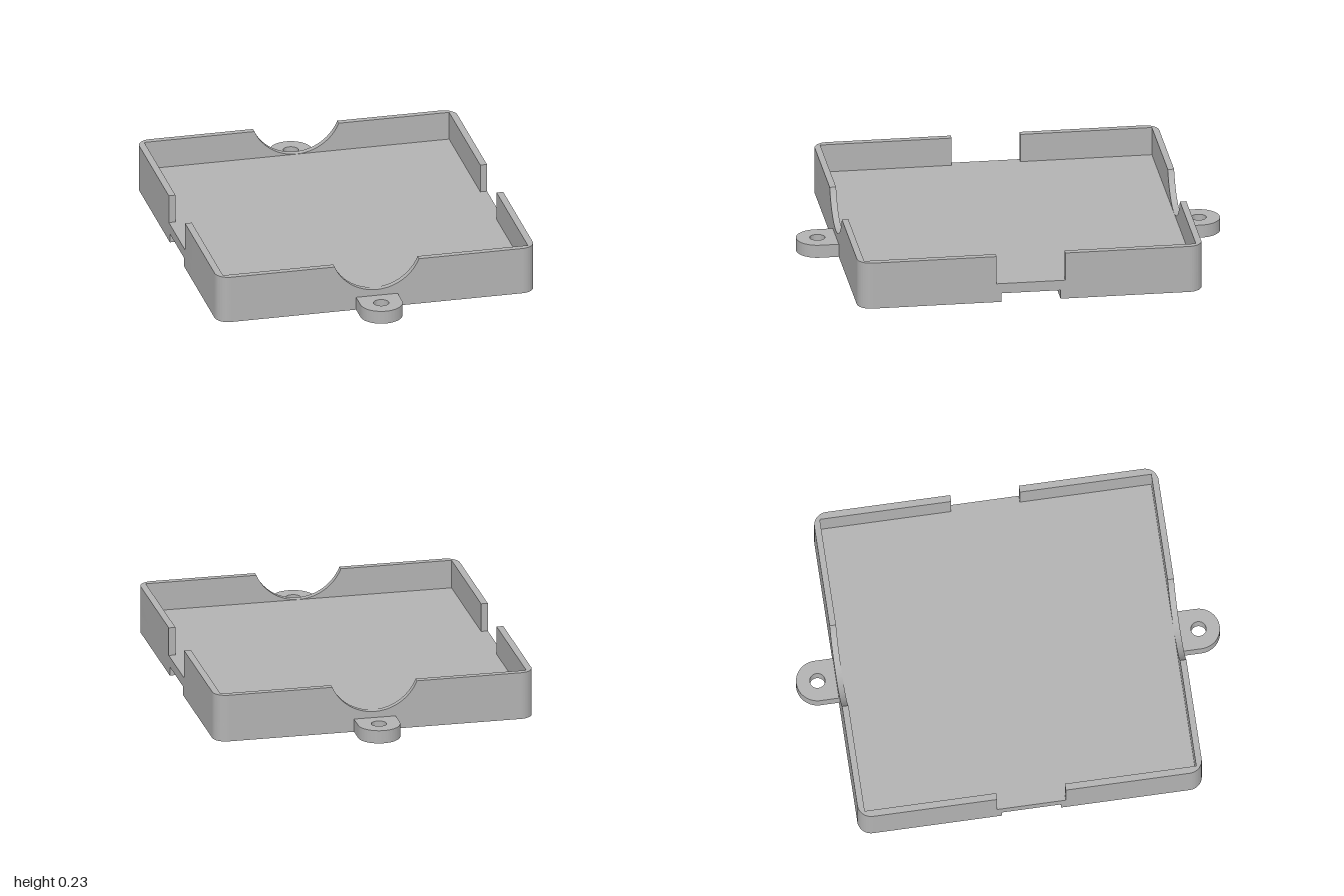
import * as THREE from 'three';
import { toCreasedNormals } from 'three/addons/utils/BufferGeometryUtils.js';

// Overall dimensions
const HX = 0.765, HZ = 0.813, CORNER = 0.065;   // outer half sizes and corner radius
const IX = 0.733, IZ = 0.783;                   // inner half sizes
const CHANNEL = 0.14, CHANNEL_TOP = 0.043;      // groove under the tray
const FLOOR = 0.092, TOP = 0.229;               // floor and rim heights
const GAP = 0.162;                              // half width of the side openings
const SCOOP_Y = 0.312, SCOOP_R = 0.219;         // round cut in the end walls
const SCOOP_X = Math.sqrt(SCOOP_R ** 2 - (SCOOP_Y - TOP) ** 2);
const TAB_R = 0.1, TAB_Z = 0.9, TAB_TOP = 0.063, HOLE_R = 0.036;

const grey = new THREE.MeshStandardMaterial({ color: 0xb3b3b3 });
grey.name = 'grey plastic';

function part(name, geometry) {
  const mesh = new THREE.Mesh(toCreasedNormals(geometry, 0.6), grey);
  mesh.name = name;
  return mesh;
}

// Extrude a plan shape drawn in (x, z) between two heights
function slab(shape, y0, y1) {
  return new THREE.ExtrudeGeometry(shape, { depth: y1 - y0, bevelEnabled: false, curveSegments: 24 })
    .rotateX(Math.PI / 2).translate(0, y1, 0);
}

// Half of the base, with two rounded outer corners
function baseHalf() {
  const s = new THREE.Shape();
  s.moveTo(-HX, CHANNEL);
  s.lineTo(HX, CHANNEL);
  s.lineTo(HX, HZ - CORNER);
  s.absarc(HX - CORNER, HZ - CORNER, CORNER, 0, Math.PI / 2, false);
  s.lineTo(-HX + CORNER, HZ);
  s.absarc(-HX + CORNER, HZ - CORNER, CORNER, Math.PI / 2, Math.PI, false);
  s.closePath();
  return slab(s, 0, FLOOR);
}

// L-shaped wall: rounded outside, square inside
function cornerWall(side) {
  const s = new THREE.Shape();
  s.moveTo(side * IX, GAP);
  s.lineTo(side * HX, GAP);
  s.lineTo(side * HX, HZ - CORNER);
  const from = side > 0 ? 0 : Math.PI;
  s.absarc(side * (HX - CORNER), HZ - CORNER, CORNER, from, Math.PI / 2, side < 0);
  s.lineTo(side * SCOOP_X, HZ);
  s.lineTo(side * SCOOP_X, IZ);
  s.lineTo(side * IX, IZ);
  s.closePath();
  return slab(s, FLOOR, TOP);
}

// Wall section beneath the round cut
function scoopWall() {
  const a = Math.atan2(TOP - SCOOP_Y, SCOOP_X);
  const s = new THREE.Shape();
  s.moveTo(-SCOOP_X, FLOOR);
  s.lineTo(SCOOP_X, FLOOR);
  s.lineTo(SCOOP_X, TOP);
  s.absarc(0, SCOOP_Y, SCOOP_R, a, -Math.PI - a, true);
  s.closePath();
  return new THREE.ExtrudeGeometry(s, { depth: HZ - IZ, bevelEnabled: false, curveSegments: 40 })
    .translate(0, 0, IZ);
}

// Rounded mounting ear with a screw hole
function mountingTab() {
  const s = new THREE.Shape();
  s.moveTo(-TAB_R, HZ);
  s.lineTo(TAB_R, HZ);
  s.lineTo(TAB_R, TAB_Z);
  s.absarc(0, TAB_Z, TAB_R, 0, Math.PI, false);
  s.closePath();
  const hole = new THREE.Path();
  hole.absarc(0, TAB_Z, HOLE_R, 0, Math.PI * 2, true);
  s.holes.push(hole);
  return slab(s, 0, TAB_TOP);
}

export function createModel() {
  const model = new THREE.Group();
  model.name = 'mountingTray';

  // Thin floor bridging the groove
  const bridge = new THREE.BoxGeometry(HX * 2, FLOOR - CHANNEL_TOP, CHANNEL * 2)
    .translate(0, (FLOOR + CHANNEL_TOP) / 2, 0);
  model.add(part('channelFloor', bridge));

  // Two identical ends, turned about the vertical axis
  for (const [name, turn] of [['frontEnd', 0], ['backEnd', Math.PI]]) {
    const end = new THREE.Group();
    end.name = name;
    end.rotation.y = turn;
    end.add(
      part('base', baseHalf()),
      part('cornerWallA', cornerWall(1)),
      part('cornerWallB', cornerWall(-1)),
      part('scoopWall', scoopWall()),
      part('mountingTab', mountingTab()),
    );
    model.add(end);
  }
  return model;
}
